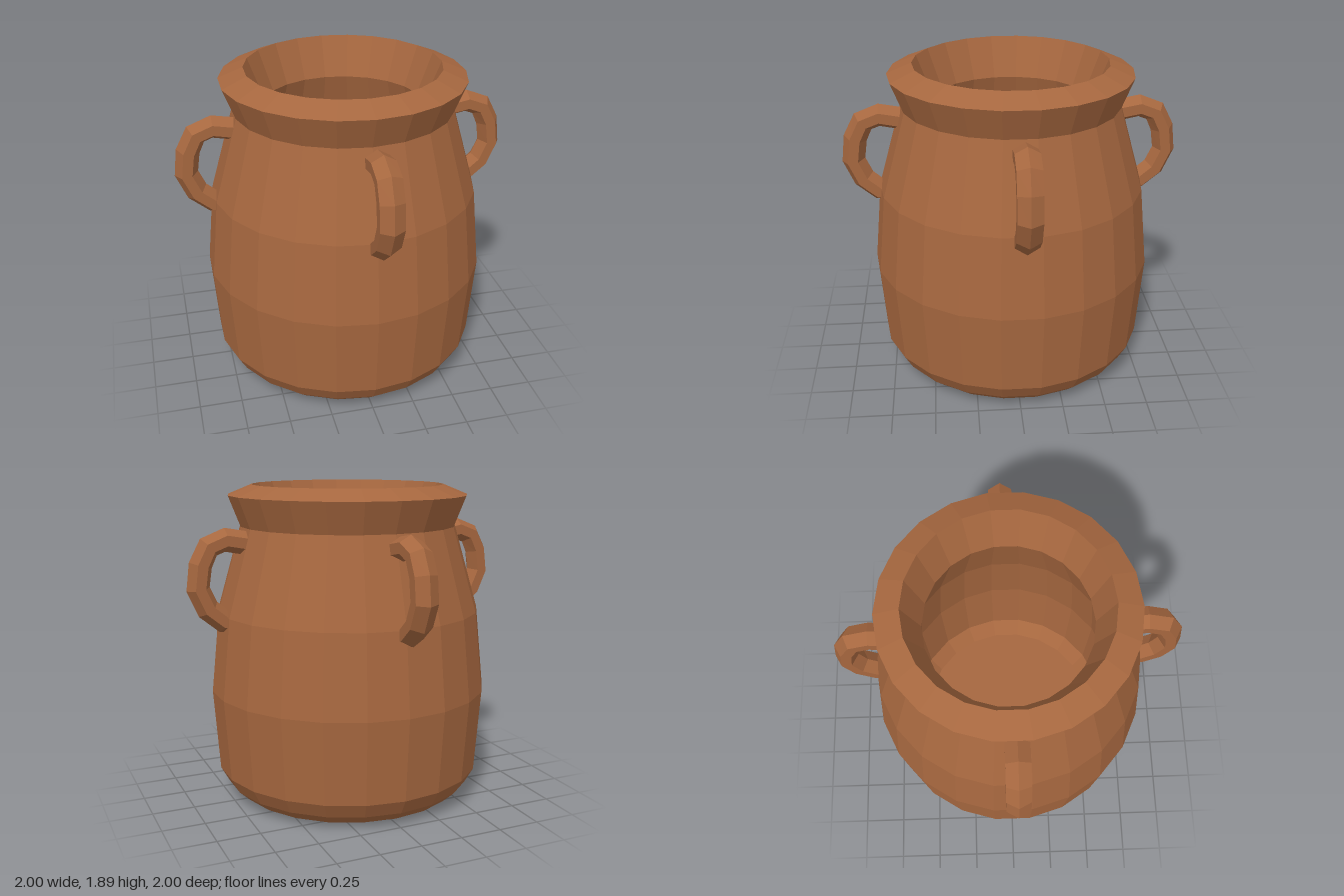
import * as THREE from 'three';

const clay = new THREE.MeshStandardMaterial({ color: 0xa6673f, flatShading: true });
clay.name = 'terracotta clay';

const V = (x, y) => new THREE.Vector2(x, y);

// Pointed six-sided bar swept along a bent path in the xy plane, with closed ends
function sweepHandle(path, section) {
  const pos = [], idx = [], n = section.length;
  path.forEach((p, i) => {
    const a = path[Math.max(i - 1, 0)], b = path[Math.min(i + 1, path.length - 1)];
    const t = b.clone().sub(a).normalize();
    const nx = -t.y, ny = t.x; // outward side of the bend
    for (const [out, side] of section) pos.push(p.x + nx * out, p.y + ny * out, side);
  });
  for (let i = 0; i < path.length - 1; i++) {
    for (let j = 0; j < n; j++) {
      const k = (j + 1) % n, a = i * n + j, b = i * n + k;
      idx.push(a, b, a + n, b, b + n, a + n);
    }
  }
  const last = (path.length - 1) * n;
  for (let j = 1; j < n - 1; j++) {
    idx.push(0, j + 1, j, last, last + j, last + j + 1);
  }
  const g = new THREE.BufferGeometry();
  g.setAttribute('position', new THREE.Float32BufferAttribute(pos, 3));
  g.setIndex(idx);
  g.computeVertexNormals();
  return g;
}

export function createModel() {
  const pot = new THREE.Group();
  pot.name = 'clayPot';

  // Hollow body: base, belly, shoulder, flared rim, then back down the inside
  const profile = [
    V(0, 0), V(0.57, 0), V(0.69, 0.03), V(0.755, 0.09), V(0.805, 0.18),
    V(0.84, 0.67), V(0.79, 1.15), V(0.645, 1.65), V(0.715, 1.83), V(0.57, 1.89),
    V(0.475, 1.65), V(0.62, 1.15), V(0.67, 0.67), V(0.64, 0.22), V(0.56, 0.13), V(0, 0.13),
  ];
  const body = new THREE.Mesh(new THREE.LatheGeometry(profile, 22), clay);
  body.name = 'body';
  pot.add(body);

  // Four loop handles, each a little off centre
  const path = [
    V(0.6, 1.56), V(0.77, 1.592), V(0.865, 1.555), V(0.915, 1.455),
    V(0.933, 1.32), V(0.88, 1.2), V(0.79, 1.125), V(0.7, 1.12),
  ];
  const section = [
    [0.068, 0], [0.03, 0.068], [-0.03, 0.068], [-0.068, 0], [-0.03, -0.068], [0.03, -0.068],
  ];
  const handleGeo = sweepHandle(path, section);
  handleGeo.translate(0, 0, -0.025);
  ['left', 'back', 'right', 'front'].forEach((side, i) => {
    const handle = new THREE.Mesh(handleGeo, clay);
    handle.name = side + 'Handle';
    handle.rotation.y = i * Math.PI / 2;
    pot.add(handle);
  });
  return pot;
}
